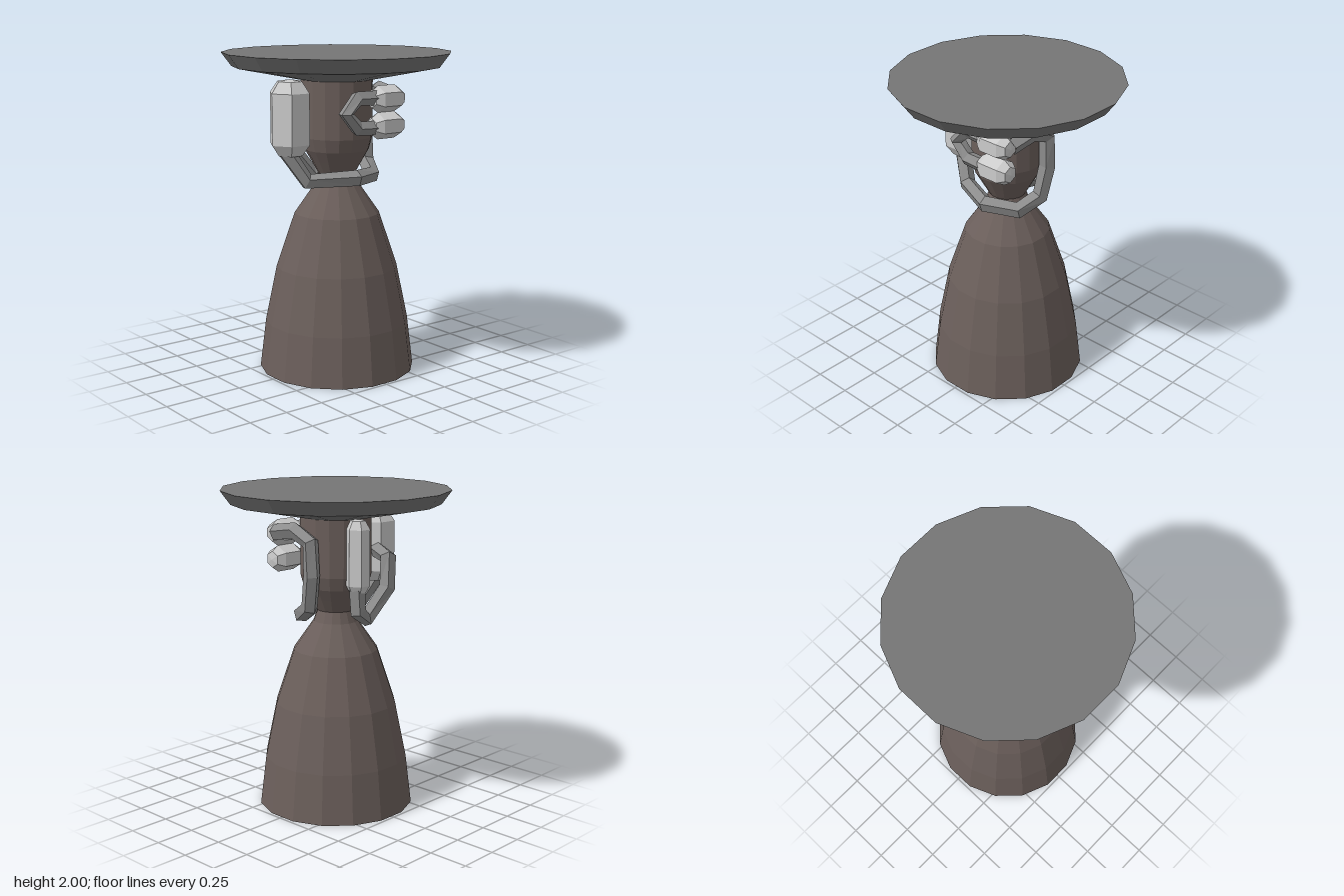
import * as THREE from 'three';

const mat = (color) => new THREE.MeshStandardMaterial({ color, flatShading: true });
const bodyMat = mat(0x6b5f5b), trayMat = mat(0x757575), armMat = mat(0x8c8c8c), podMat = mat(0xcccccc);

function lathe(name, profile, sides, start, material) {
  const points = profile.map(([r, y]) => new THREE.Vector2(r, y));
  const mesh = new THREE.Mesh(new THREE.LatheGeometry(points, sides, start), material);
  mesh.name = name;
  return mesh;
}

// Six-sided capsule with chamfered ends, centred on its origin
function pod(name, r, length, chamfer) {
  const h = length / 2;
  return lathe(name, [
    [0, -h], [r * 0.62, -h + chamfer * 0.15], [r, -h + chamfer],
    [r, h - chamfer], [r * 0.62, h - chamfer * 0.15], [0, h],
  ], 6, 0, podMat);
}

// Polyline whose tube gets exactly one ring per corner
class Path extends THREE.Curve {
  constructor(points) {
    super();
    this.points = points.map((p) => new THREE.Vector3(...p));
  }
  getPoint(t, target = new THREE.Vector3()) {
    const last = this.points.length - 1;
    const i = Math.min(Math.round(t * last * 1000) / 1000, last);
    const k = Math.min(Math.floor(i), last - 1);
    return target.lerpVectors(this.points[k], this.points[k + 1], i - k);
  }
  getPointAt(t, target) {
    return this.getPoint(t, target);
  }
  getTangentAt(t, target = new THREE.Vector3()) {
    const last = this.points.length - 1;
    const i = Math.round(t * last);
    const dir = (k) => this.points[k + 1].clone().sub(this.points[k]).normalize();
    return target.copy(dir(Math.max(i - 1, 0))).add(dir(Math.min(i, last - 1))).normalize();
  }
}

function arm(name, points, radius = 0.052) {
  const geometry = new THREE.TubeGeometry(new Path(points), points.length - 1, radius, 5, false);
  const mesh = new THREE.Mesh(geometry, armMat);
  mesh.name = name;
  return mesh;
}

export function createModel() {
  const model = new THREE.Group();
  model.name = 'pedestal';
  const turn = Math.PI / 16;

  // Hollow flared foot, narrow neck and drum
  model.add(lathe('body', [
    [0, 1.1], [0.21, 0.98], [0.325, 0.66], [0.4, 0.31], [0.44, 0],
    [0.49, 0], [0.452, 0.31], [0.38, 0.66], [0.265, 1.0], [0.14, 1.18],
    [0.115, 1.25], [0.16, 1.33], [0.2, 1.4], [0.222, 1.48], [0.222, 1.85],
  ], 16, turn, bodyMat));

  // Wide flat tray
  model.add(lathe('tray', [
    [0, 1.83], [0.21, 1.83], [0.645, 1.915], [0.707, 2], [0, 2],
  ], 16, turn, trayMat));

  // Upright pods
  const frontPod = pod('frontPod', 0.13, 0.47, 0.08);
  frontPod.position.set(0, 1.615, 0.355);
  const sidePod = pod('sidePod', 0.075, 0.46, 0.06);
  sidePod.position.set(-0.24, 1.61, -0.06);
  model.add(frontPod, sidePod);

  // Pair of small horizontal pods
  [1.725, 1.562].forEach((y, i) => {
    const small = pod(i ? 'lowerSmallPod' : 'upperSmallPod', 0.082, 0.24, 0.055);
    small.rotation.x = Math.PI / 2;
    small.position.set(0.275, y, -0.165);
    model.add(small);
  });

  // Arm from the front pod round the neck, up the back to the small pods
  model.add(arm('neckArm', [
    [0, 1.42, 0.39], [0.07, 1.23, 0.28], [0.2, 1.24, 0], [0.11, 1.23, -0.19],
    [-0.02, 1.3, -0.25], [-0.06, 1.5, -0.27], [-0.05, 1.7, -0.27],
    [0.08, 1.76, -0.27], [0.26, 1.73, -0.26],
  ]));

  // Bracket joining the small pods
  model.add(arm('bracket', [
    [0.28, 1.735, -0.08], [0.28, 1.74, 0.06], [0.28, 1.65, 0.145],
    [0.28, 1.56, 0.06], [0.28, 1.555, -0.08],
  ], 0.047));

  // Arm from the front pod down and back up to the side pod
  model.add(arm('sideArm', [
    [-0.05, 1.6, 0.31], [-0.25, 1.58, 0.2], [-0.28, 1.4, 0.16],
    [-0.235, 1.22, 0.02], [-0.25, 1.28, -0.07], [-0.24, 1.42, -0.07],
  ]));

  return model;
}
